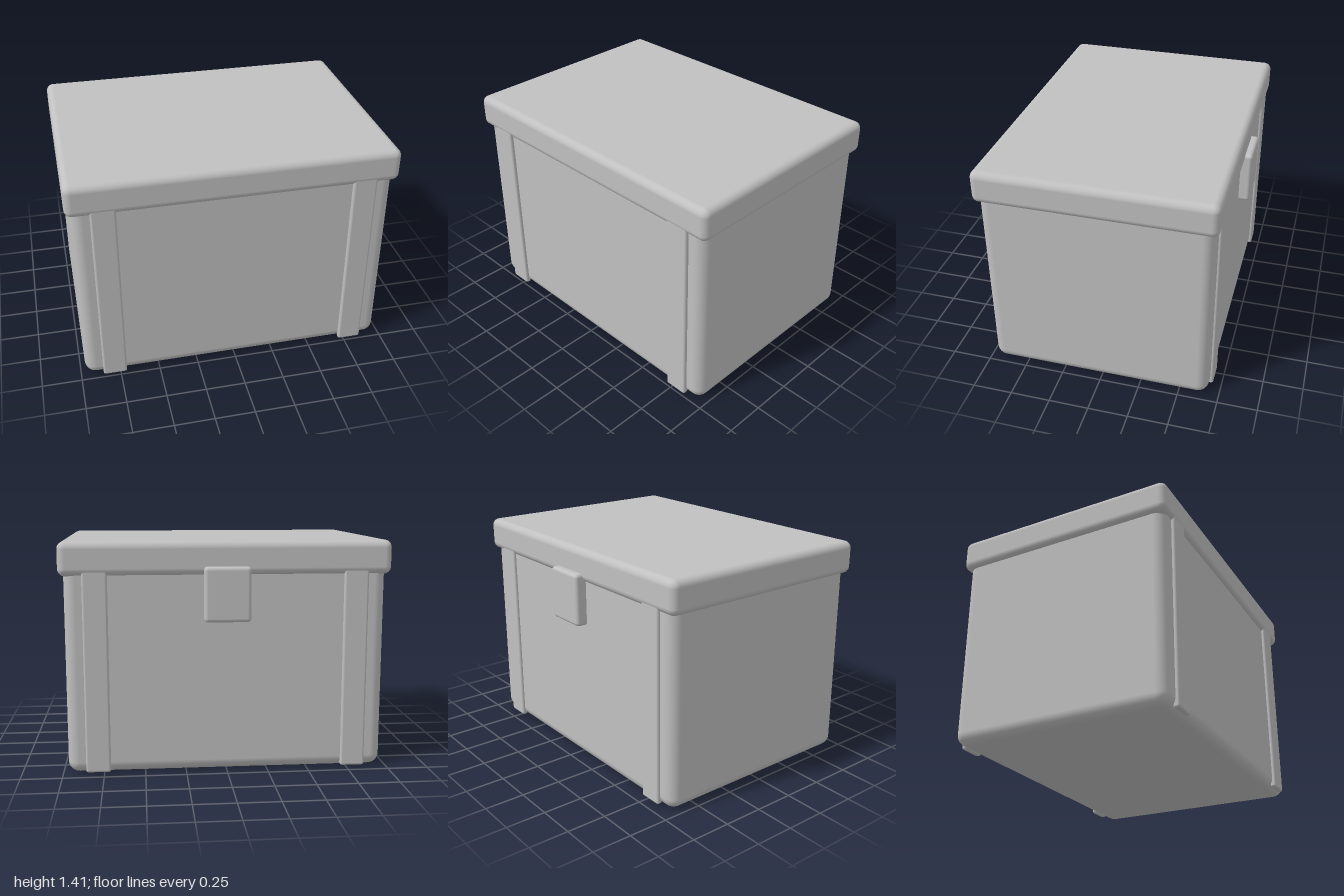
import * as THREE from 'three';
import { RoundedBoxGeometry } from 'three/addons/geometries/RoundedBoxGeometry.js';

export function createModel() {
  const chest = new THREE.Group();
  chest.name = 'chest';
  const grey = new THREE.MeshStandardMaterial({ color: 0xc0c0c0 });
  grey.name = 'plain grey';

  // Rounded box given by its [min, max] extent on each axis
  const addBlock = (name, [x0, x1], [y0, y1], [z0, z1], radius) => {
    const geometry = new RoundedBoxGeometry(x1 - x0, y1 - y0, z1 - z0, 5, radius);
    const mesh = new THREE.Mesh(geometry, grey);
    mesh.position.set((x0 + x1) / 2, (y0 + y1) / 2, (z0 + z1) / 2);
    mesh.name = name;
    chest.add(mesh);
  };

  // Box body with soft edges, its top hidden in the lid
  addBlock('body', [-0.97, 0.97], [0, 1.34], [-0.68, 0.722], 0.07);

  // Overhanging lid
  addBlock('lid', [-1, 1], [1.205, 1.41], [-0.703, 0.747], 0.045);

  // Upright straps, a pair on the front and a pair on the back
  for (const [side, x0, x1] of [['left', 0.71, 0.86], ['right', -0.86, -0.71]]) {
    addBlock(`${side} front strap`, [x0, x1], [0.01, 1.3], [0.705, 0.744], 0.014);
    addBlock(`${side} back strap`, [x0, x1], [0.01, 1.3], [-0.698, -0.659], 0.014);
  }

  // Latch plate hanging from the back of the lid
  addBlock('latch', [-0.14, 0.14], [0.93, 1.26], [-0.75, -0.66], 0.022);

  return chest;
}
